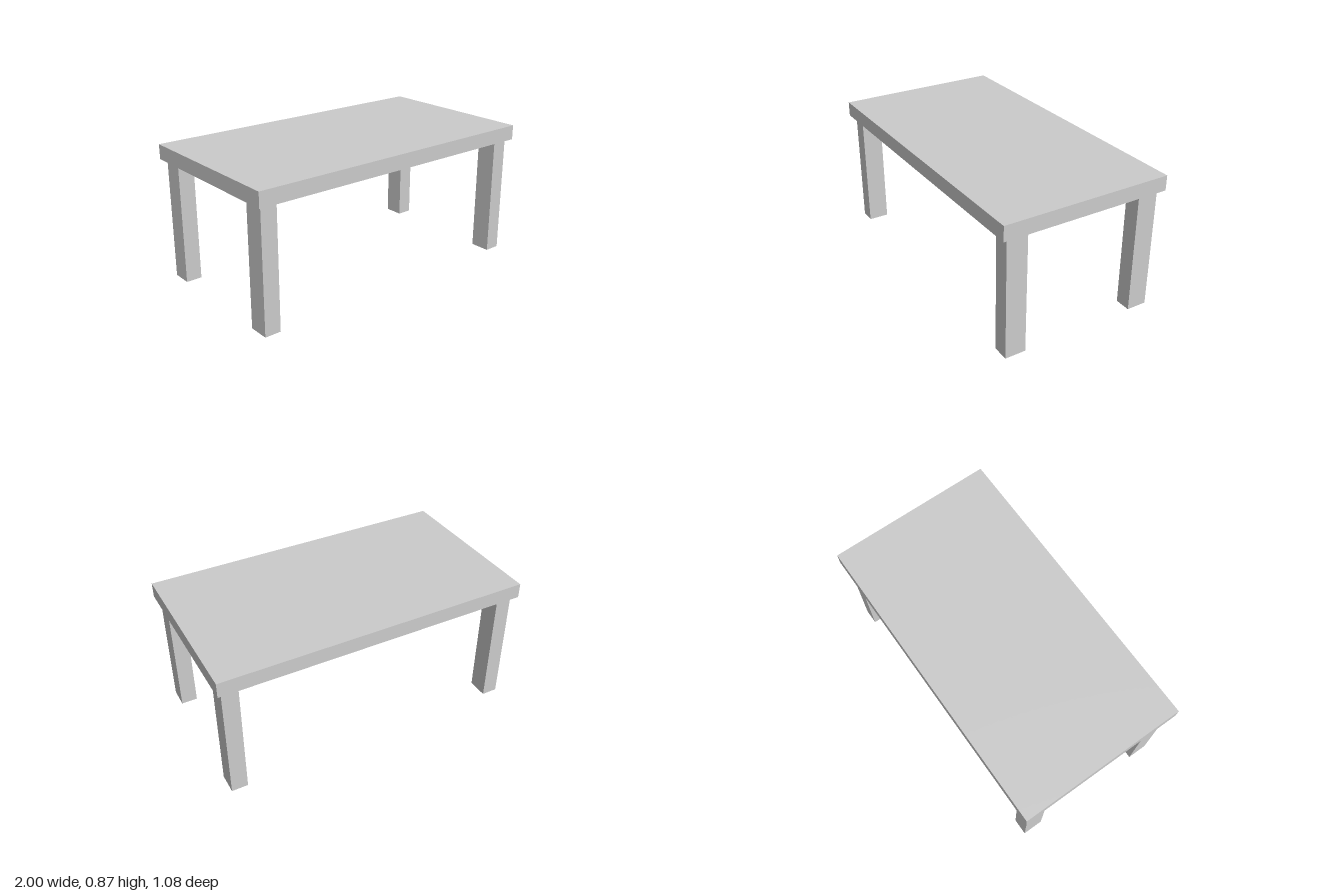
import * as THREE from 'three';

const W = 1, D = 0.542;             // half width and half depth of the top
const LEG_H = 0.777, TOP_H = 0.872; // underside and upper surface heights
const RIM = 0.02;                   // width of the rim and rise of the panel edge
const EASE = 0.1;                   // width of the rounded panel edge

export function createModel() {
  const table = new THREE.Group();
  table.name = 'table';
  const material = new THREE.MeshStandardMaterial({ color: 0xcccccc });

  const add = (name, geometry, x, y, z) => {
    const mesh = new THREE.Mesh(geometry, material);
    mesh.name = name;
    mesh.position.set(x, y, z);
    table.add(mesh);
  };

  // Slab whose underside is a flat panel, easing upwards near its edges
  const slab = new THREE.BoxGeometry(2 * W, TOP_H - LEG_H, 2 * D, 100, 1, 54);
  const p = slab.attributes.position;
  for (let i = 0; i < p.count; i++) {
    if (p.getY(i) > 0) continue;
    const inset = Math.min(W - Math.abs(p.getX(i)), D - Math.abs(p.getZ(i))) - RIM;
    const t = THREE.MathUtils.clamp(1 - inset / EASE, 0, 1);
    p.setY(i, p.getY(i) + 0.002 + (RIM - 0.002) * t * t);
  }
  slab.computeVertexNormals();
  add('tabletop', slab, 0, (TOP_H + LEG_H) / 2, 0);

  // Thin rim around the panel, with solid corners where the legs attach
  const rim = new THREE.Shape([
    [-W, -D], [W, -D], [W, D], [-W, D],
  ].map(([x, y]) => new THREE.Vector2(x, y)));
  const ox = W - RIM, oy = D - RIM, ix = W - 0.15, iy = D - 0.18;
  rim.holes.push(new THREE.Path([
    [ox, -iy], [ix, -iy], [ix, -oy], [-ix, -oy], [-ix, -iy], [-ox, -iy],
    [-ox, iy], [-ix, iy], [-ix, oy], [ix, oy], [ix, iy], [ox, iy],
  ].map(([x, y]) => new THREE.Vector2(x, y))));
  const rimGeometry = new THREE.ExtrudeGeometry(rim, { depth: RIM, bevelEnabled: false });
  rimGeometry.rotateX(-Math.PI / 2);
  add('tabletopRim', rimGeometry, 0, LEG_H, 0);

  // Four rectangular legs
  const legGeometry = new THREE.BoxGeometry(0.103, LEG_H, 0.132);
  for (const [side, sx] of [['Left', 1], ['Right', -1]]) {
    for (const [end, sz] of [['front', 1], ['back', -1]]) {
      add(`${end}${side}Leg`, legGeometry, sx * 0.919, LEG_H / 2, sz * 0.439);
    }
  }
  return table;
}
